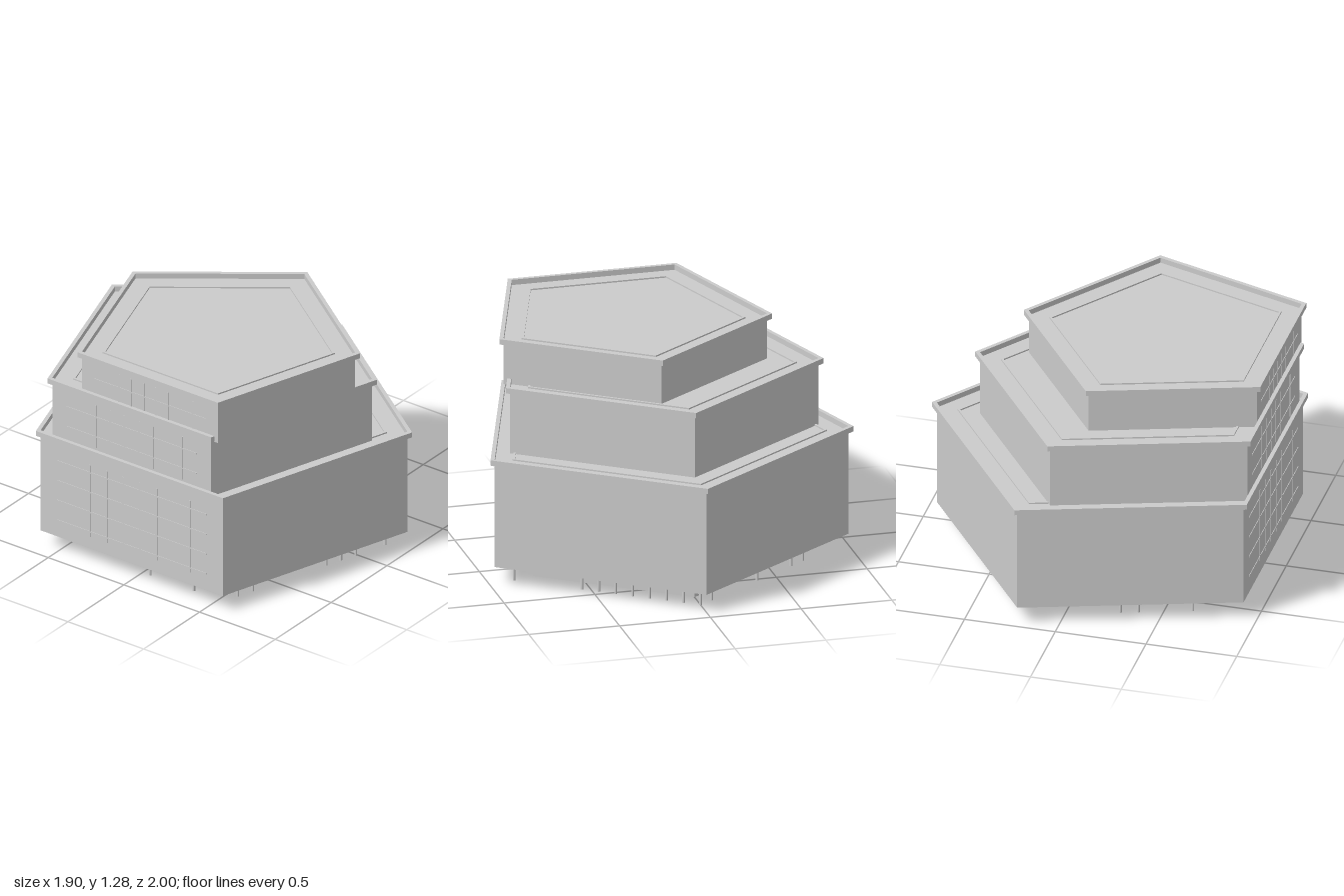
import * as THREE from 'three';

const COS36 = Math.cos(Math.PI / 5);
const LEFT = -0.951; // all tiers share this left edge
const RIM = 0.027; // parapet overhang, as a difference of radii

export function createModel() {
  const group = new THREE.Group();
  const material = new THREE.MeshStandardMaterial({ color: 0xcccccc, flatShading: true });

  const add = (name, geometry, x, y, z) => {
    const mesh = new THREE.Mesh(geometry, material);
    mesh.name = name;
    mesh.position.set(x, y, z);
    group.add(mesh);
    return mesh;
  };

  // Corners of a regular pentagon with one tip on +x
  const corners = (r) => Array.from({ length: 5 }, (_, i) =>
    new THREE.Vector2(r * Math.cos(i * Math.PI * 0.4), r * Math.sin(i * Math.PI * 0.4)));

  // Upright pentagonal prism, hollow when an inner radius is given
  const prism = (name, r, y0, y1, cx, cz, inner = 0) => {
    const shape = new THREE.Shape(corners(r));
    if (inner) shape.holes.push(new THREE.Path(corners(inner).reverse()));
    const geometry = new THREE.ExtrudeGeometry(shape, { depth: y1 - y0, bevelEnabled: false });
    geometry.rotateX(-Math.PI / 2);
    return add(name, geometry, cx, y0, cz);
  };

  // Stacked tiers: r is the parapet radius, rows and columns place the glazing bars
  const tiers = [
    { r: 1.0515, y0: 0.1, y1: 0.68, cz: 0, rows: [0.2, 0.32, 0.44, 0.56] },
    { r: 0.92, y0: 0.68, y1: 1.025, cz: 0, rows: [0.79, 0.91] },
    { r: 0.79, y0: 1.02, y1: 1.25, cz: 0.12, rows: [1.14] },
  ];
  for (const { r, y0, y1, cz, rows } of tiers) {
    const cx = LEFT + COS36 * r;
    const body = r - RIM;
    prism('tierBody', body, y0, y1, cx, cz);
    prism('parapet', r, y1, y1 + 0.03, cx, cz, body);
    const curb = body - 0.114;
    prism('roofCurb', curb, y1, y1 + 0.008, cx, cz, curb - 0.015);

    // Thin glazing bars on the left-hand wall
    const wallX = cx - COS36 * body;
    const width = 2 * body * Math.sin(Math.PI / 5);
    for (const y of rows) {
      add('glazingRail', new THREE.BoxGeometry(0.006, 0.008, width * 0.82), wallX, y, cz);
    }
    for (const i of [3, 4, 5, 6, 7, 9]) {
      add('glazingPost', new THREE.BoxGeometry(0.006, (y1 - y0) * 0.75, 0.008),
        wallX, (y0 + y1) / 2, cz + (i / 11 - 0.5) * width);
    }
  }

  // Recessed ground floor wall, open underneath
  const baseX = LEFT + COS36 * tiers[0].r;
  prism('groundFloorWall', 0.78, 0, 0.1, baseX, 0, 0.77);

  // Slender columns on an eleven-step grid along each side, starting at the tip
  const columnSteps = [
    [0, 1, 2, 3, 4, 5, 6, 7],
    [0, 2, 3, 4, 9, 10],
    [2, 5],
    [2, 5, 6],
    [2, 3, 6, 10],
  ];
  const ring = corners(0.9);
  columnSteps.forEach((steps, side) => {
    for (const step of steps) {
      const p = ring[side].clone().lerp(ring[(side + 1) % 5], step / 11);
      add('column', new THREE.CylinderGeometry(0.0075, 0.0075, 0.1, 8), baseX + p.x, 0.05, p.y);
    }
  });

  return group;
}
